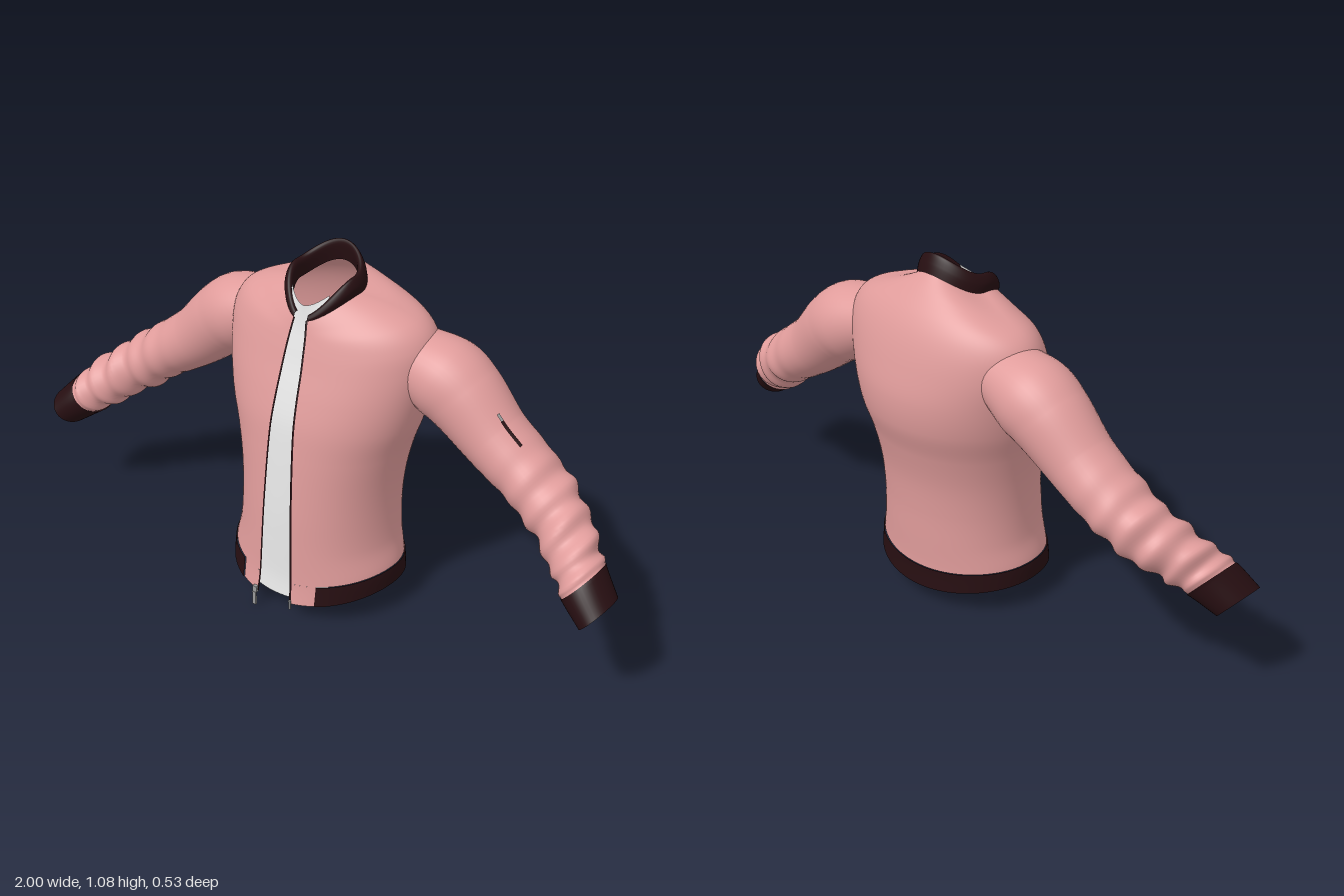
import * as THREE from 'three';
import { ParametricGeometry } from 'three/addons/geometries/ParametricGeometry.js';

const mat = (name, color) => {
  const m = new THREE.MeshStandardMaterial({ color, side: THREE.DoubleSide });
  m.name = name;
  return m;
};

// Horizontal sections: halfWidth, yFront, zFront, ySide, zSide, yBack, zBack, front exponent
const BODY = [
  [.270, .05, .262, .09, .02, .06, -.195, .95],
  [.267, .115, .252, .145, .02, .125, -.19, .95],
  [.250, .22, .246, .22, .01, .22, -.193, .95],
  [.245, .32, .240, .32, .005, .32, -.197, .95],
  [.252, .42, .231, .42, 0, .42, -.208, .95],
  [.272, .52, .220, .52, -.005, .52, -.232, .95],
  [.300, .61, .207, .61, -.01, .61, -.261, .95],
  [.320, .69, .186, .70, -.02, .70, -.268, .95],
  [.335, .77, .160, .79, -.04, .79, -.252, .95],
  [.330, .82, .145, .86, -.05, .87, -.228, 1],
  [.290, .86, .132, .912, -.05, .93, -.198, 1],
  [.205, .885, .125, .948, -.04, .985, -.155, 1.1],
  [.112, .905, .120, .972, -.01, 1.025, -.115, 1.2],
];
const COLLAR = [
  [.113, .903, .122, .970, -.01, 1.022, -.117, 1.2],
  [.116, .908, .121, .998, 0, 1.052, -.106, 1.2],
  [.104, .915, .115, 1.022, 0, 1.076, -.092, 1.2],
  [.090, .913, .106, 1.012, 0, 1.062, -.084, 1.2],
  [.090, .900, .104, .968, -.01, 1.012, -.092, 1.2],
];

// Smooth interpolation of every section value at row v
function section(rows, v) {
  const i = Math.min(Math.max(Math.floor(v), 0), rows.length - 2), t = v - i;
  const at = k => rows[Math.min(Math.max(k, 0), rows.length - 1)];
  const [a, b, c, d] = [at(i - 1), at(i), at(i + 1), at(i + 2)];
  return b.map((p, k) => p + .5 * t * (c[k] - a[k] +
    t * (2 * a[k] - 5 * p + 4 * c[k] - d[k] + t * (3 * (p - c[k]) + d[k] - a[k]))));
}

// Angle from the front at which a section reaches a given x
const angleAt = (r, x) => Math.asin(Math.pow(Math.min(1, x / r[0]), 1 / r[7]));

// Point of a section; the offset moves it outward
function sectionPoint(r, angle, off, target) {
  const [w, yf, zf, ys, zs, yb, zb, e] = r;
  const s = Math.sin(angle), c = Math.cos(angle), front = c > 0;
  const x = (w + off) * Math.sign(s) * Math.pow(Math.abs(s), front ? e : 1);
  const z = zs + c * (front ? zf - zs + off : zs - zb + off);
  const y = ys + c * c * ((front ? yf : yb) - ys);
  return target.set(x, y, z);
}

// Patch of cloth between two rows; range(section, v) gives its two angles
function patch(rows, v0, v1, range, off, nu, nv, lift = () => 0) {
  return new ParametricGeometry((u, t, target) => {
    const v = v0 + (v1 - v0) * t, r = section(rows, v);
    const [a, b] = range(r, v);
    sectionPoint(r, a + (b - a) * u, off, target);
    target.y += lift(v);
  }, nu, nv);
}

// Sleeve centres, with height and depth radii
const SLEEVE = [
  [.24, .80, -.07, .09, .10], [.37, .755, -.075, .119, .122], [.425, .72, -.075, .114, .116],
  [.53, .63, -.07, .097, .102], [.64, .555, -.065, .087, .1], [.74, .485, -.045, .083, .094],
  [.83, .42, .008, .076, .088], [.895, .365, .055, .067, .082], [.96, .31, .086, .056, .074],
];
const centre = new THREE.CatmullRomCurve3(SLEEVE.map(p => new THREE.Vector3(p[0], p[1], p[2])));
const radius = new THREE.CatmullRomCurve3(SLEEVE.map(p => new THREE.Vector3(p[3], p[4], 0)));

function sleevePoint(t, angle, off, side, target) {
  t = Math.min(Math.max(t, 0), 1);
  const c = centre.getPoint(t), d = centre.getTangent(t), r = radius.getPoint(t);
  const len = Math.hypot(d.x, d.y);
  // gathered folds toward the cuff
  const fold = THREE.MathUtils.smoothstep(t, .4, .65) * (1 - THREE.MathUtils.smoothstep(t, .84, .875));
  const ripple = fold * .006 * (Math.sin(t * 75 + 1.2 * Math.sin(angle + 1)) + .5 * Math.sin(t * 43 - 2 * angle));
  const h = (r.x + off + ripple) * Math.cos(angle), k = (r.y + off + ripple) * Math.sin(angle);
  return target.set(side * (c.x - d.y / len * h), c.y + d.x / len * h, c.z + k);
}

function sleevePatch(t0, t1, a0, a1, off, side, nu, nv) {
  return new ParametricGeometry((u, v, target) =>
    sleevePoint(t0 + (t1 - t0) * v, a0 + (a1 - a0) * u, off, side, target), nu, nv);
}

export function createModel() {
  const model = new THREE.Group();
  model.name = 'jacket';
  const pink = mat('pinkCloth', 0xe09c9b);
  const dark = mat('darkRib', 0x260e11);
  const white = mat('whiteLining', 0xe6e6e6);
  const metal = mat('zipMetal', 0x9a9a9a);
  const add = (name, geometry, material) => {
    const mesh = new THREE.Mesh(geometry, material);
    mesh.name = name;
    model.add(mesh);
    return mesh;
  };
  const TAU = Math.PI * 2, top = BODY.length - 1;
  const gap = v => THREE.MathUtils.lerp(.058, .02, v / top);
  const around = x => (r, v) => {
    const a = angleAt(r, x(v));
    return [a, TAU - a];
  };

  // Body shell, open at the front
  add('body', patch(BODY, 1, top, around(gap), 0, 96, 72), pink);

  // Ribbed hem with plain cloth ends by the opening
  add('hem', patch(BODY, 0, 1, around(() => .13), .003, 80, 6), dark);
  for (const side of [1, -1]) {
    const label = side > 0 ? 'left' : 'right';
    add(label + 'HemEnd', patch(BODY, 0, 1, (r, v) =>
      [side * angleAt(r, gap(v)), side * angleAt(r, .13)], 0, 8, 6), pink);
    add(label + 'ZipTape', patch(BODY, 0, top, (r, v) =>
      [side * angleAt(r, gap(v) - .002), side * angleAt(r, gap(v) + .004)], .002, 2, 60), dark);

    // Sleeve and cuff
    add(label + 'Sleeve', sleevePatch(0, 7 / 8, 0, TAU, 0, side, 40, 90), pink);
    add(label + 'Cuff', sleevePatch(6.95 / 8, 1, 0, TAU, .003, side, 40, 8), dark);
  }

  // Inner panel behind the opening
  add('innerPanel', patch(BODY, .2, top, (r, v) => {
    const a = angleAt(r, THREE.MathUtils.lerp(.17, .075, v / top));
    return [-a, a];
  }, -.018, 24, 50, v => .04 * Math.pow(v / top, 8)), white);

  // Stand-up collar, folded over to the inside
  add('collar', patch(COLLAR, 0, COLLAR.length - 1, around(() => .022), 0, 64, 20), dark);

  // Zip pulls at the lower ends of the opening
  const pull = add('zipPull', new THREE.BoxGeometry(.012, .045, .006), metal);
  pull.position.set(-.07, .0225, .263);
  const slider = add('zipSlider', new THREE.BoxGeometry(.014, .02, .01), metal);
  slider.position.set(-.068, .055, .26);
  const pin = add('zipPin', new THREE.BoxGeometry(.006, .03, .005), metal);
  pin.position.set(.06, .05, .26);

  // Small zip pocket on one sleeve
  add('sleeveZip', sleevePatch(2.85 / 8, 3.55 / 8, .4, .5, .003, 1, 2, 10), dark);
  add('sleeveZipPull', sleevePatch(2.68 / 8, 2.85 / 8, .41, .49, .005, 1, 2, 3), metal);

  return model;
}
